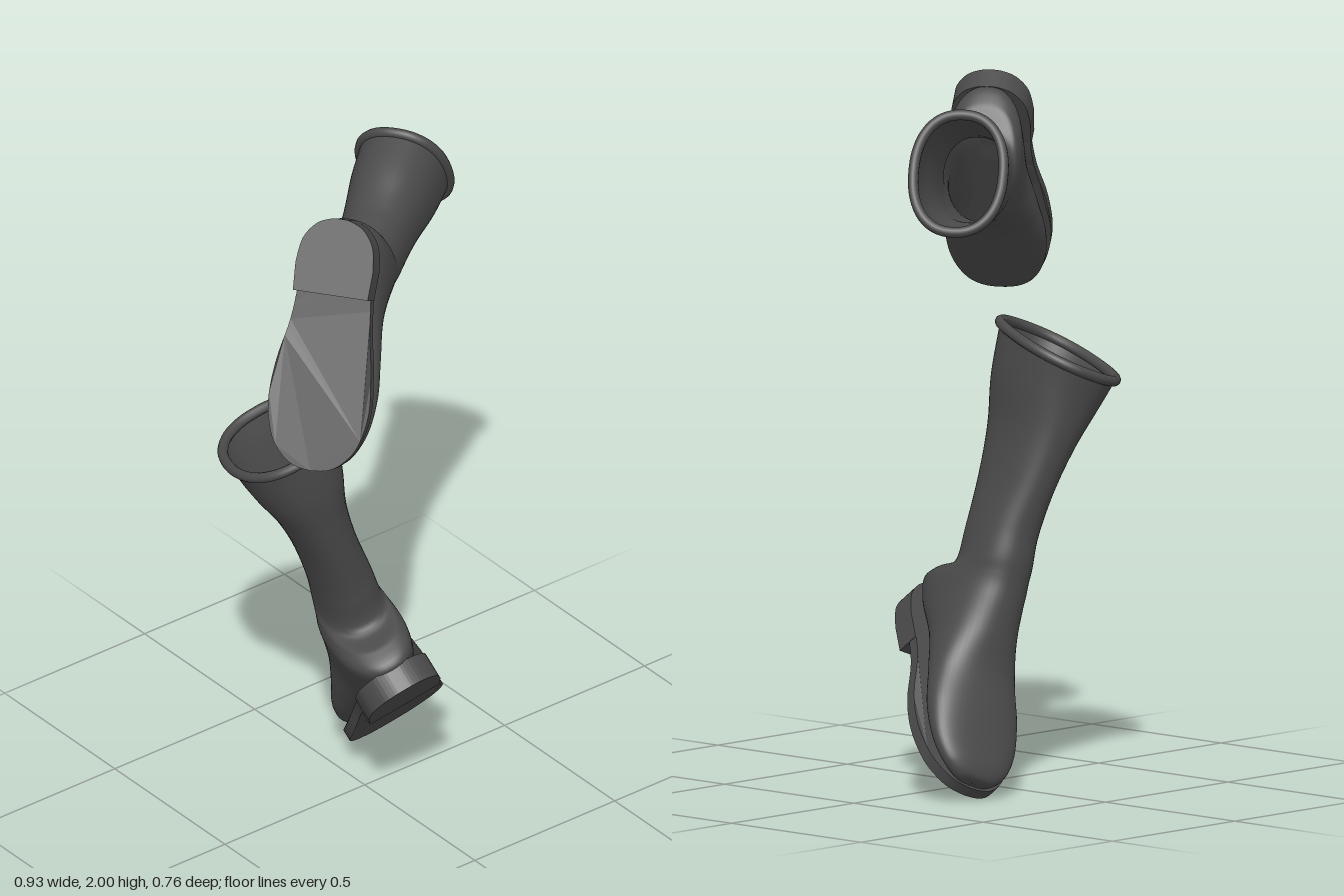
import * as THREE from 'three';
import { ParametricGeometry } from 'three/addons/geometries/ParametricGeometry.js';

const material = new THREE.MeshStandardMaterial({ color: 0x4a4a4a, side: THREE.DoubleSide });

// Boot frame: x toward the toe, y up from the sole, z across; the origin is the toe tip.
// Sections: [back x, back y, front x, front y, half width, shift across]
const FOOT = [
  [0, 0.045, 0, 0.045, 0.002, 0], [-0.006, 0.028, -0.004, 0.07, 0.055, 0],
  [-0.035, 0.026, -0.03, 0.092, 0.095, 0], [-0.1, 0.026, -0.1, 0.12, 0.132, 0],
  [-0.22, 0.03, -0.2, 0.16, 0.147, 0], [-0.36, 0.045, -0.3, 0.205, 0.134, 0],
  [-0.52, 0.055, -0.38, 0.272, 0.115, 0],
];

// Heel, ankle and shaft sections of each boot, up to the opening
const TALL_SHAFT = [
  [-0.66, 0.045, -0.45, 0.338, 0.111, 0], [-0.73, 0.07, -0.48, 0.367, 0.11, 0],
  [-0.72, 0.13, -0.5, 0.389, 0.102, 0.003], [-0.672, 0.208, -0.53, 0.424, 0.092, 0.008],
  [-0.745, 0.287, -0.587, 0.482, 0.086, 0.017], [-0.88, 0.39, -0.67, 0.593, 0.084, 0.02],
  [-0.99, 0.47, -0.75, 0.705, 0.1, 0.02], [-1.1, 0.55, -0.82, 0.808, 0.135, 0.022],
  [-1.222, 0.66, -0.86, 0.878, 0.158, 0.025],
];
const SHORT_SHAFT = [
  [-0.64, 0.044, -0.42, 0.335, 0.109, 0], [-0.7, 0.068, -0.445, 0.372, 0.109, 0],
  [-0.693, 0.13, -0.465, 0.4, 0.104, 0], [-0.645, 0.22, -0.495, 0.44, 0.098, 0],
  [-0.7, 0.305, -0.54, 0.5, 0.1, 0], [-0.75, 0.355, -0.58, 0.555, 0.106, 0],
  [-0.83, 0.42, -0.64, 0.67, 0.12, 0], [-0.915, 0.5, -0.71, 0.78, 0.127, 0],
];

function addMesh(group, name, geometry) {
  const mesh = new THREE.Mesh(geometry, material);
  mesh.name = name;
  group.add(mesh);
}

// Point on a section; a power below 1 squares the oval a little
function sectionPoint(back, front, angle, target) {
  const soft = (v) => Math.sign(v) * Math.pow(Math.abs(v), 0.88);
  const k = 0.5 + 0.5 * soft(Math.cos(angle));
  return target.set(
    back.x + (front.x - back.x) * k,
    back.y + (front.y - back.y) * k,
    front.z - back.z * soft(Math.sin(angle)),
  );
}

// Flat slab from a mirrored half outline of [x, half width] points
function slab(half, bottom, thickness) {
  const points = [...half, ...half.slice().reverse().map(([x, w]) => [x, -w])];
  const shape = new THREE.Shape(points.map(([x, w]) => new THREE.Vector2(x, w)));
  const geometry = new THREE.ExtrudeGeometry(shape, { depth: thickness, bevelEnabled: false });
  return geometry.rotateX(-Math.PI / 2).translate(0, bottom, 0);
}

function smoothHalf(points, count) {
  const curve = new THREE.SplineCurve(points.map(([x, w]) => new THREE.Vector2(x, w)));
  return curve.getPoints(count).map((p) => [p.x, p.y]);
}

function createBoot(name, shaft, footScale, toe, forward, up) {
  const boot = new THREE.Group();
  boot.name = name;

  // Upper: one smooth skin from toe to opening.
  // The back line carries the half width in z, the front line the shift across.
  const rows = [...FOOT.map((row) => row.map((v) => v * footScale)), ...shaft];
  const backLine = new THREE.CatmullRomCurve3(rows.map((r) => new THREE.Vector3(r[0], r[1], r[4])));
  const frontLine = new THREE.CatmullRomCurve3(rows.map((r) => new THREE.Vector3(r[2], r[3], r[5])));
  const skin = (u, v, target) =>
    sectionPoint(backLine.getPoint(v), frontLine.getPoint(v), u * Math.PI * 2, target);
  addMesh(boot, 'upper', new ParametricGeometry(skin, 48, 90));

  // Rolled edge around the opening
  const ring = [];
  for (let i = 0; i < 32; i++) ring.push(skin(i / 32, 1, new THREE.Vector3()));
  addMesh(boot, 'rolledRim',
    new THREE.TubeGeometry(new THREE.CatmullRomCurve3(ring, true), 64, 0.015, 10, true));

  // Sole, lifted under the arch
  const soleHalf = smoothHalf([
    [0.008, 0.002], [0, 0.05], [-0.025, 0.09], [-0.08, 0.13], [-0.18, 0.152],
    [-0.3, 0.143], [-0.42, 0.12], [-0.55, 0.108], [-0.64, 0.1],
  ], 40);
  const sole = slab(soleHalf, 0, 0.033);
  const pos = sole.attributes.position;
  for (let i = 0; i < pos.count; i++) {
    pos.setY(i, pos.getY(i) + 0.025 * THREE.MathUtils.smoothstep(-pos.getX(i), 0.25, 0.48));
  }
  sole.computeVertexNormals();
  addMesh(boot, 'sole', sole.scale(footScale, footScale, footScale));

  // Heel block with a rounded back, a little deeper at its front
  const heelHalf = [[-0.508, 0.113], ...smoothHalf([
    [-0.59, 0.117], [-0.66, 0.106], [-0.708, 0.072], [-0.728, 0.03], [-0.731, 0.001],
  ], 16)];
  const heel = slab(heelHalf, 0, 0.075)
    .translate(0.73, 0, 0).rotateZ(-0.08).translate(-0.73, 0, 0);
  addMesh(boot, 'heel', heel.scale(footScale, footScale, footScale));

  // Pose
  const x = new THREE.Vector3(...forward).normalize();
  const z = x.clone().cross(new THREE.Vector3(...up)).normalize();
  const y = z.clone().cross(x);
  boot.quaternion.setFromRotationMatrix(new THREE.Matrix4().makeBasis(x, y, z));
  boot.position.set(...toe);
  return boot;
}

export function createModel() {
  const model = new THREE.Group();
  model.name = 'pairOfBoots';
  model.add(
    createBoot('lowerBoot', TALL_SHAFT, 1,
      [0.25, 0.02, -0.19], [0.44, -0.635, -0.635], [-0.076, 0.678, -0.731]),
    createBoot('upperBoot', SHORT_SHAFT, 0.97,
      [-0.42, 1.37, 0.29], [-0.37, -0.9, 0.277], [0.738, -0.434, -0.513]),
  );
  return model;
}
